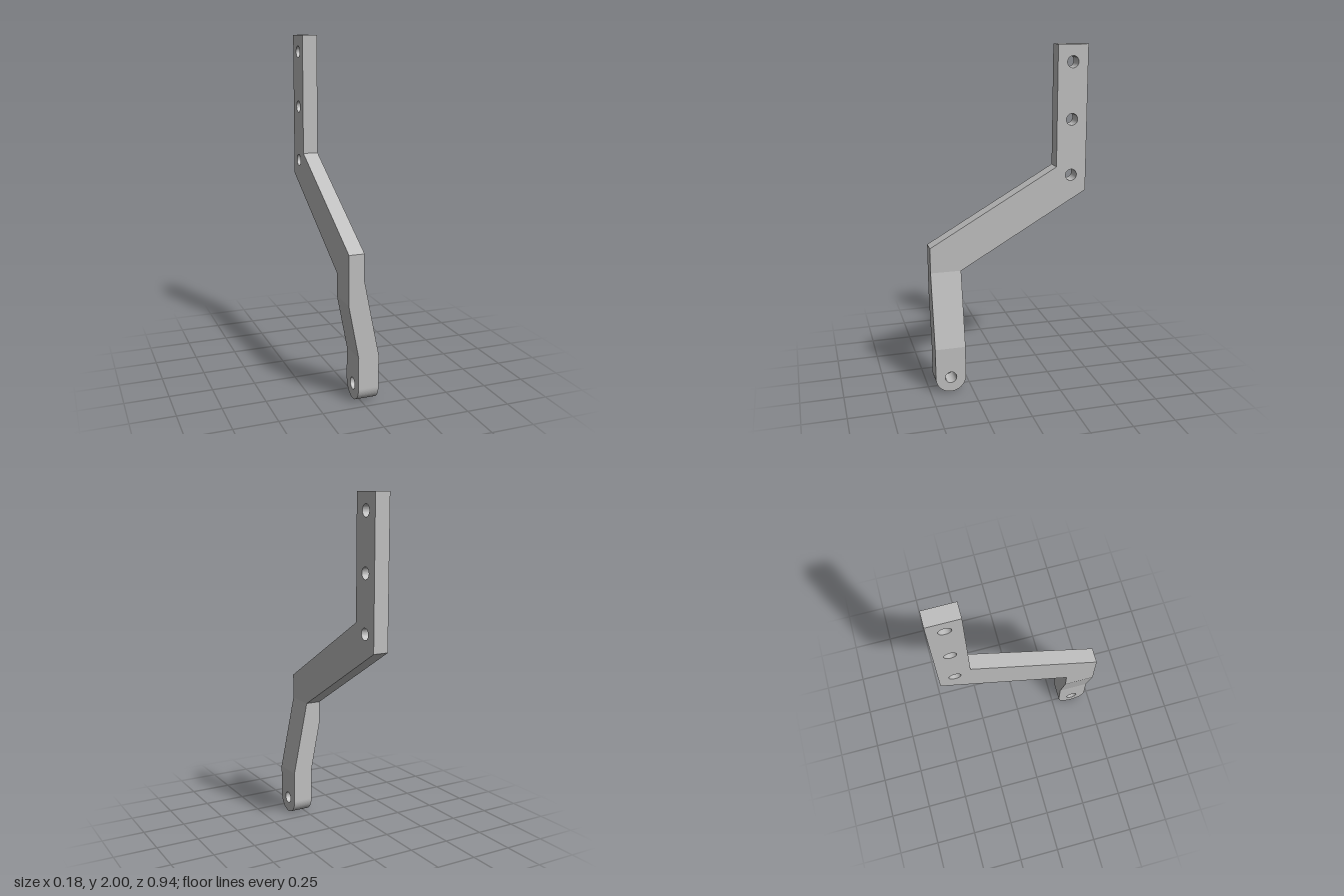
import * as THREE from 'three';

const HALF_Z = 0.468;   // half of the overall depth
const WIDTH = 0.18;     // strap width
const HOLE_R = 0.034;
const JOIN_Y = 0.718;   // where the sideways bend starts
const FOOT_Y = 0.275;   // where the sideways bend ends

function addHole(shape, u, y) {
  const hole = new THREE.Path();
  hole.absarc(u, y, HOLE_R, 0, Math.PI * 2, true);
  shape.holes.push(hole);
}

// Extrudes a side profile (u = -z, v = y) from x0 to x1
function sidePlate(shape, x0, x1) {
  const geometry = new THREE.ExtrudeGeometry(shape, { depth: x1 - x0, bevelEnabled: false, curveSegments: 32 });
  return geometry.rotateY(Math.PI / 2).translate(x0, 0, 0);
}

function polygon(points) {
  return new THREE.Shape(points.map(([a, b]) => new THREE.Vector2(a, b)));
}

export function createModel() {
  const group = new THREE.Group();
  group.name = 'offsetBracket';
  const steel = new THREE.MeshStandardMaterial({ color: 0xbfbfbf });
  steel.name = 'greySteel';

  function add(name, geometry) {
    const mesh = new THREE.Mesh(geometry, steel);
    mesh.name = name;
    group.add(mesh);
  }

  const inner = HALF_Z - WIDTH;

  // Upright with three bolt holes and the slanted arm
  const upper = polygon([
    [-HALF_Z, JOIN_Y], [-inner, JOIN_Y], [HALF_Z, 1.155], [HALF_Z, 2],
    [inner, 2], [inner, 1.302], [-HALF_Z, 0.867],
  ]);
  const holeU = HALF_Z - WIDTH / 2;
  for (const y of [1.25, 1.576, 1.902]) addHole(upper, holeU, y);
  add('upperArm', sidePlate(upper, -0.09, 0));

  // Strap that steps sideways towards the foot
  const bend = polygon([
    [-0.09, JOIN_Y], [-0.09, 0.585], [-0.03, FOOT_Y], [0.09, FOOT_Y], [0, JOIN_Y],
  ]);
  const bendGeometry = new THREE.ExtrudeGeometry(bend, { depth: WIDTH, bevelEnabled: false });
  add('offsetBend', bendGeometry.translate(0, 0, inner));

  // Rounded foot with the pivot hole
  const r = WIDTH / 2;
  const foot = new THREE.Shape();
  foot.moveTo(-inner, FOOT_Y);
  foot.lineTo(-HALF_Z, FOOT_Y);
  foot.lineTo(-HALF_Z, r);
  foot.absarc(-holeU, r, r, Math.PI, Math.PI * 2, false);
  foot.closePath();
  addHole(foot, -holeU, r);
  add('roundedFoot', sidePlate(foot, -0.03, 0.09));

  return group;
}
